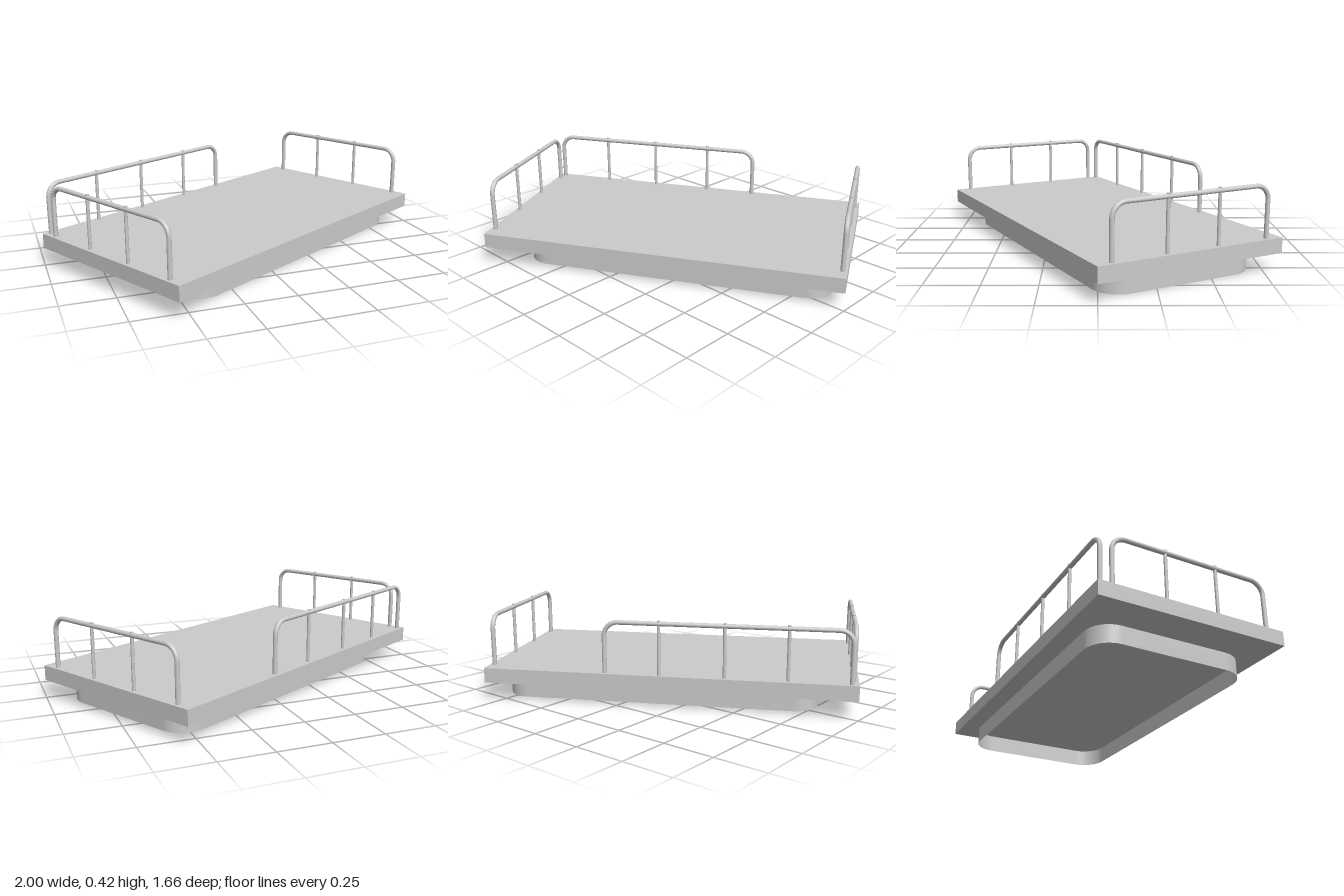
import * as THREE from 'three';

const material = new THREE.MeshStandardMaterial({ color: 0xcccccc });
const sheetMaterial = new THREE.MeshStandardMaterial({ color: 0xcccccc, side: THREE.DoubleSide });

const DECK_BOTTOM = 0.088, DECK_TOP = 0.16;
const BAR_Y = 0.403, BAR_RADIUS = 0.011, POST_RADIUS = 0.008, BEND = 0.065;

function addMesh(parent, name, geometry, mat = material) {
  const mesh = new THREE.Mesh(geometry, mat);
  mesh.name = name;
  parent.add(mesh);
  return mesh;
}

// Open wall following a rounded rectangle, with no floor
function skirtGeometry(halfX, halfZ, radius, height) {
  const outline = [], steps = 8;
  [[1, 1], [-1, 1], [-1, -1], [1, -1]].forEach(([sx, sz], corner) => {
    for (let i = 0; i <= steps; i++) {
      const a = (corner + i / steps) * Math.PI / 2;
      outline.push([
        sx * (halfX - radius) + radius * Math.cos(a),
        sz * (halfZ - radius) + radius * Math.sin(a),
      ]);
    }
  });
  const positions = [], indices = [], n = outline.length;
  outline.forEach(([x, z], i) => {
    positions.push(x, 0, z, x, height, z);
    const a = 2 * i, b = 2 * ((i + 1) % n);
    indices.push(a, a + 1, b, b, a + 1, b + 1);
  });
  const geometry = new THREE.BufferGeometry();
  geometry.setAttribute('position', new THREE.Float32BufferAttribute(positions, 3));
  geometry.setIndex(indices);
  geometry.computeVertexNormals();
  return geometry;
}

// Bent handrail along local x, with thin posts at the given positions
function createRail(name, start, end, posts) {
  const rail = new THREE.Group();
  rail.name = name;
  const v = (x, y) => new THREE.Vector3(x, y, 0);
  const k = BEND * 0.5523;
  const path = new THREE.CurvePath();
  path.add(new THREE.LineCurve3(v(start, DECK_TOP - 0.01), v(start, BAR_Y - BEND)));
  path.add(new THREE.CubicBezierCurve3(
    v(start, BAR_Y - BEND), v(start, BAR_Y - BEND + k),
    v(start + BEND - k, BAR_Y), v(start + BEND, BAR_Y)));
  path.add(new THREE.LineCurve3(v(start + BEND, BAR_Y), v(end - BEND, BAR_Y)));
  path.add(new THREE.CubicBezierCurve3(
    v(end - BEND, BAR_Y), v(end - BEND + k, BAR_Y),
    v(end, BAR_Y - BEND + k), v(end, BAR_Y - BEND)));
  path.add(new THREE.LineCurve3(v(end, BAR_Y - BEND), v(end, DECK_TOP - 0.01)));
  addMesh(rail, 'handrail', new THREE.TubeGeometry(path, 140, BAR_RADIUS, 12));

  const postTop = BAR_Y + BAR_RADIUS + 0.003;
  for (const x of posts) {
    const post = addMesh(rail, 'railPost',
      new THREE.CylinderGeometry(POST_RADIUS, POST_RADIUS, postTop - DECK_TOP, 12));
    post.position.set(x, (postTop + DECK_TOP) / 2, 0);
  }
  return rail;
}

export function createModel() {
  const model = new THREE.Group();
  model.name = 'railedPlatform';

  // Everything is built square, then turned on the ground plane
  const platform = new THREE.Group();
  platform.name = 'platform';
  platform.rotation.y = THREE.MathUtils.degToRad(28);
  model.add(platform);

  // Deck slab
  const deck = addMesh(platform, 'deck',
    new THREE.BoxGeometry(1.766, DECK_TOP - DECK_BOTTOM, 0.94));
  deck.position.y = (DECK_TOP + DECK_BOTTOM) / 2;

  // Hollow skirt below the deck
  const skirt = addMesh(platform, 'skirt',
    skirtGeometry(0.764, 0.389, 0.12, DECK_BOTTOM), sheetMaterial);
  skirt.position.set(0.058, 0, 0.008);

  // Long rail on part of the back edge
  const backRail = createRail('backRail', -0.851, 0.287, [-0.568, -0.279, 0.027]);
  backRail.position.z = -0.445;
  platform.add(backRail);

  // Matching rails on both short ends
  for (const side of [-1, 1]) {
    const endRail = createRail(side < 0 ? 'rightEndRail' : 'leftEndRail',
      -0.394, 0.394, [-0.131, 0.131]);
    endRail.rotation.y = Math.PI / 2;
    endRail.position.x = side * 0.86;
    platform.add(endRail);
  }
  return model;
}
